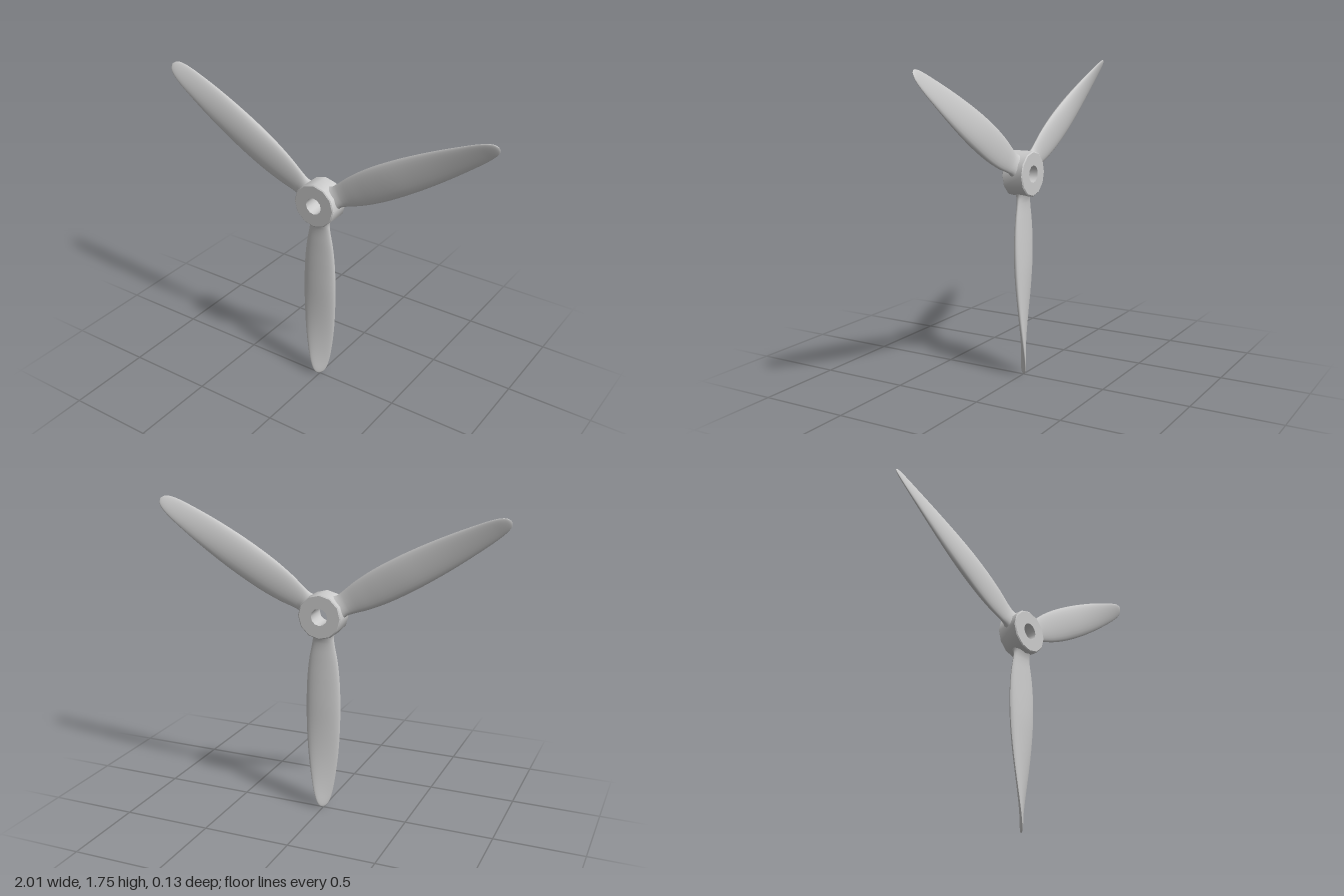
import * as THREE from 'three';
import { toCreasedNormals } from 'three/addons/utils/BufferGeometryUtils.js';

const HUB_Y = 1.157;
const TIP = 1.157;
const material = new THREE.MeshStandardMaterial({ color: 0xcccccc });

// Blade stations: distance from hub axis, half chord, half thickness
const stations = new THREE.CatmullRomCurve3([
  [0.09, 0.07, 0.045], [0.125, 0.062, 0.029], [0.16, 0.066, 0.021], [0.26, 0.085, 0.023],
  [0.38, 0.097, 0.028], [0.52, 0.1, 0.031], [0.66, 0.096, 0.028], [0.82, 0.085, 0.022],
  [0.96, 0.07, 0.016], [1.06, 0.056, 0.011], [1.12, 0.04, 0.008], [1.145, 0.024, 0.005],
  [TIP, 0, 0],
].map((p) => new THREE.Vector3(...p)));

// Oval-section blade pointing up +y, twisting by `twist` degrees at the tip
function bladeGeometry(twist, power) {
  const geo = new THREE.CylinderGeometry(1, 1, 1, 24, 48, true);
  const pos = geo.attributes.position;
  for (let i = 0; i < pos.count; i++) {
    const { x: r, y: chord, z: thick } = stations.getPoint(pos.getY(i) + 0.5);
    const angle = THREE.MathUtils.degToRad(twist * (r / TIP) ** power);
    const u = pos.getZ(i) * chord;
    const v = -pos.getX(i) * thick;
    pos.setXYZ(i,
      u * Math.cos(angle) - v * Math.sin(angle),
      r,
      u * Math.sin(angle) + v * Math.cos(angle));
  }
  geo.computeVertexNormals();
  return geo;
}

// Faceted hub with a fine bevelled rim and a through bore
function hubGeometry() {
  const profile = [
    [0.048, -0.063], [0.12, -0.063], [0.126, -0.058],
    [0.126, 0.058], [0.12, 0.063], [0.048, 0.063], [0.048, -0.063],
  ].map((p) => new THREE.Vector2(...p));
  const geo = new THREE.LatheGeometry(profile, 12);
  geo.rotateX(Math.PI / 2);
  return toCreasedNormals(geo, 0.6);
}

export function createModel() {
  const model = new THREE.Group();
  model.name = 'propeller';

  const hub = new THREE.Mesh(hubGeometry(), material);
  hub.name = 'hub';
  hub.position.y = HUB_Y;
  model.add(hub);

  // Three blades: the lower one twists further and the opposite way
  const blades = [
    ['lowerBlade', Math.PI, 52, 3],
    ['leftBlade', -Math.PI / 3, -26, 2],
    ['rightBlade', Math.PI / 3, -26, 2],
  ];
  for (const [name, turn, twist, power] of blades) {
    const blade = new THREE.Mesh(bladeGeometry(twist, power), material);
    blade.name = name;
    blade.position.y = HUB_Y;
    blade.rotation.z = turn;
    model.add(blade);
  }
  return model;
}
